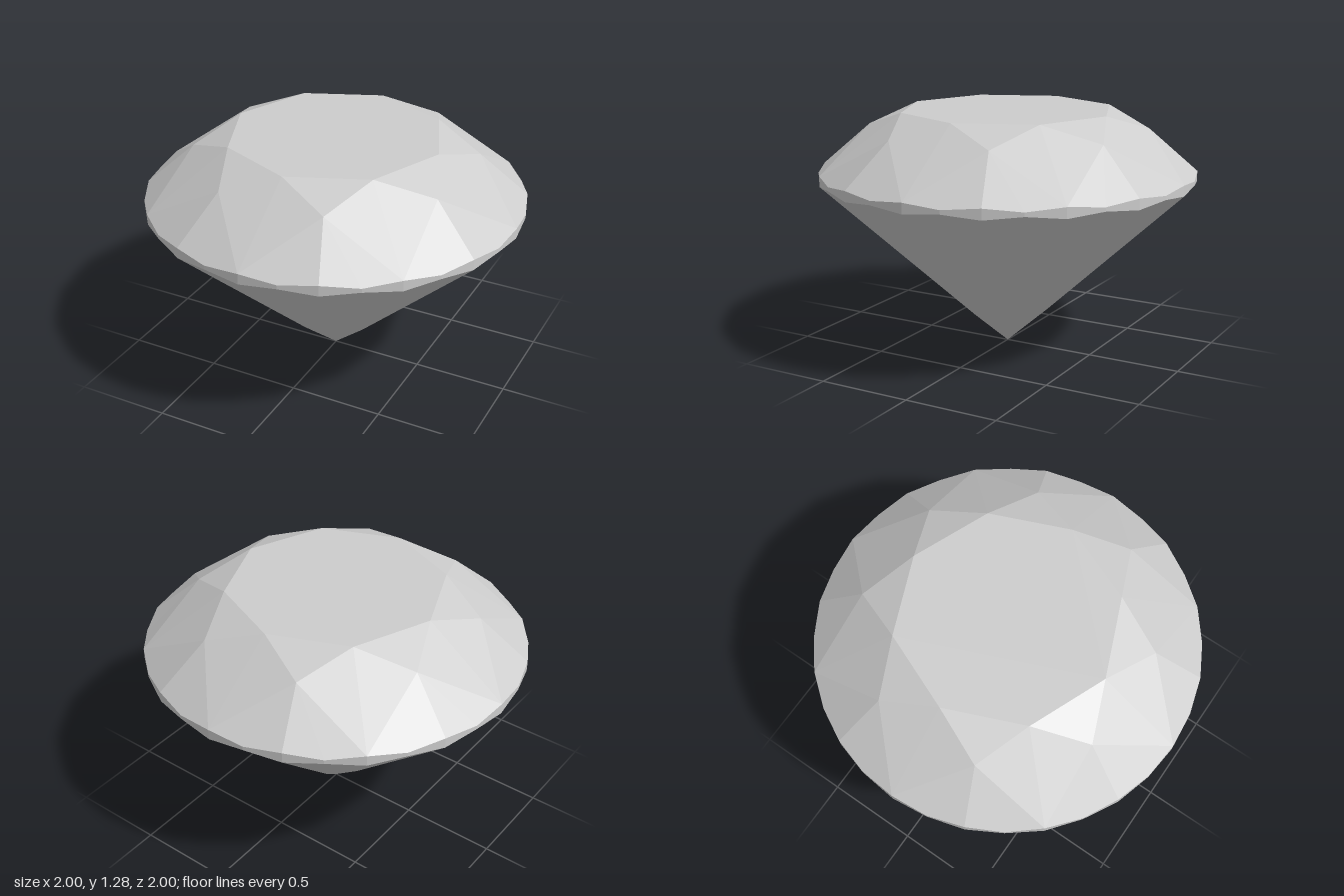
import * as THREE from 'three';

const STEP = Math.PI / 16; // the girdle has 32 corners

// Corner at girdle step k, radius r and height y
const at = (k, r, y) => [r * Math.sin(k * STEP), y, r * Math.cos(k * STEP)];

// Corner rings of the round brilliant cut
const tableCorner = k => at(k, 0.57, 1.285);
const starCorner = k => at(k, 0.745, 1.193);
const girdleTop = k => at(k, 1, k % 2 ? 0.957 : 0.974);
const girdleBottom = k => at(k, 1, k % 2 ? 0.936 : 0.918);
const lowerCorner = k => at(k, 0.22, 0.187);
const culet = [0, 0, 0];

// Flat convex facets, each given as a counter-clockwise corner loop
function facetMesh(name, facets, material) {
  const positions = [];
  for (const f of facets) {
    for (let i = 1; i < f.length - 1; i++) positions.push(...f[0], ...f[i], ...f[i + 1]);
  }
  const geometry = new THREE.BufferGeometry();
  geometry.setAttribute('position', new THREE.Float32BufferAttribute(positions, 3));
  geometry.computeVertexNormals();
  const mesh = new THREE.Mesh(geometry, material);
  mesh.name = name;
  return mesh;
}

export function createModel() {
  const gem = new THREE.MeshStandardMaterial({ color: 0xcccccc });
  gem.name = 'gem grey';

  const table = [[]], crown = [], girdle = [], pavilion = [];

  for (let k = 0; k < 32; k += 4) {
    table[0].push(tableCorner(k));

    // Crown: star triangle, kite and two upper girdle facets
    crown.push([starCorner(k + 2), tableCorner(k + 4), tableCorner(k)]);
    crown.push([girdleTop(k), starCorner(k + 2), tableCorner(k), starCorner(k - 2)]);
    crown.push([starCorner(k + 2), girdleTop(k), girdleTop(k + 1), girdleTop(k + 2)]);
    crown.push([starCorner(k + 2), girdleTop(k + 2), girdleTop(k + 3), girdleTop(k + 4)]);

    // Pavilion: long kite and two lower girdle facets
    pavilion.push([culet, lowerCorner(k + 2), girdleBottom(k), lowerCorner(k - 2)]);
    pavilion.push([lowerCorner(k + 2), girdleBottom(k + 2), girdleBottom(k + 1), girdleBottom(k)]);
    pavilion.push([lowerCorner(k + 2), girdleBottom(k + 4), girdleBottom(k + 3), girdleBottom(k + 2)]);
  }

  // Scalloped girdle band
  for (let k = 0; k < 32; k++) {
    girdle.push([girdleBottom(k), girdleBottom(k + 1), girdleTop(k + 1), girdleTop(k)]);
  }

  const group = new THREE.Group();
  group.name = 'cutGem';
  group.add(
    facetMesh('table', table, gem),
    facetMesh('crown', crown, gem),
    facetMesh('girdle', girdle, gem),
    facetMesh('pavilion', pavilion, gem)
  );
  return group;
}
